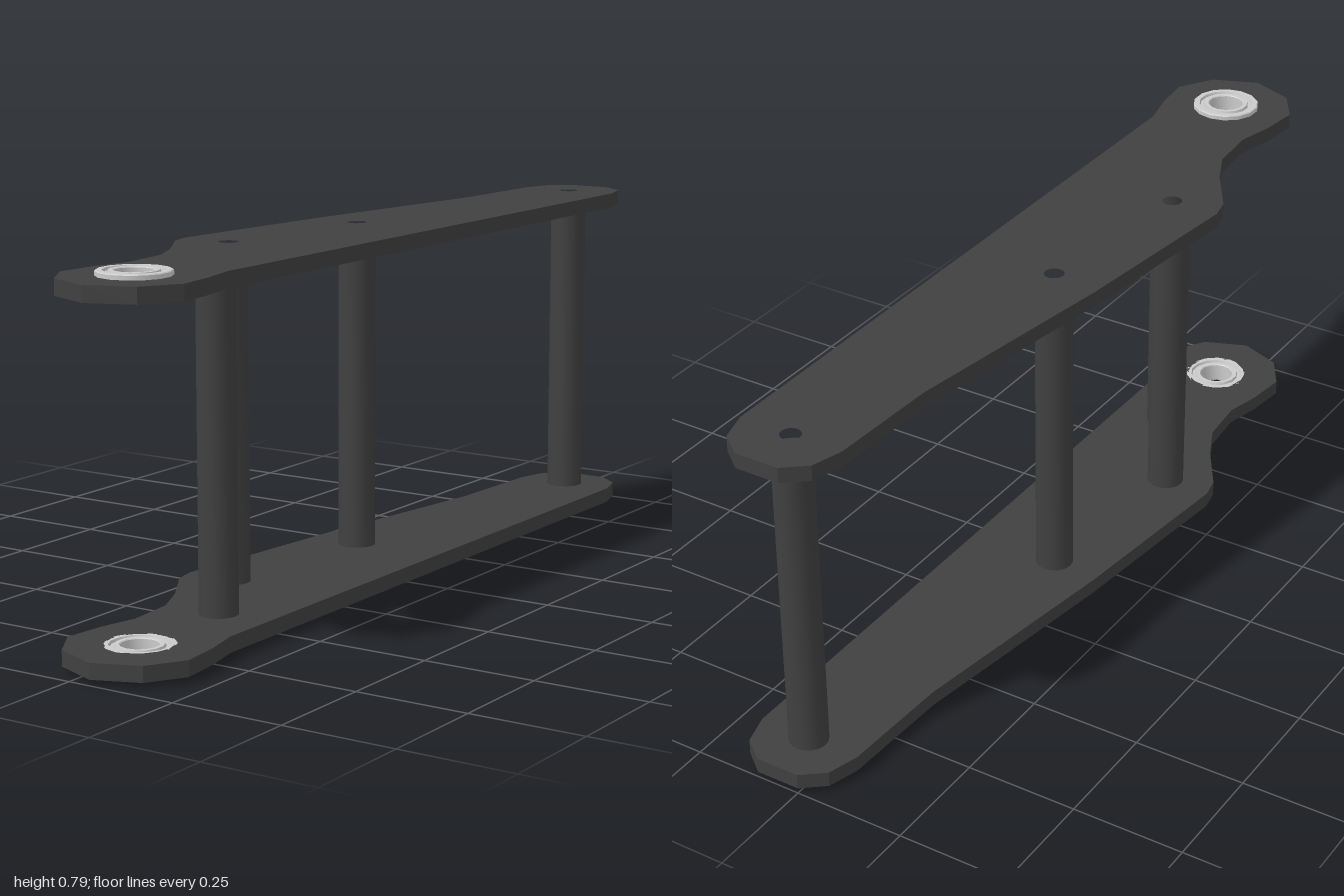
import * as THREE from 'three';
import { toCreasedNormals } from 'three/addons/utils/BufferGeometryUtils.js';

const dark = new THREE.MeshStandardMaterial({ color: 0x404040 });
const metal = new THREE.MeshStandardMaterial({ color: 0xcccccc });

const LOWER = 0.012, UPPER = 0.746, THICK = 0.034;
const PIN_HOLE = 0.022;
const PIVOT = [0.05, 0.84];
// Post centres as [x, z]; the last is blind, the others are bored through the plates
const POSTS = [[0.05, -0.89], [-0.04, -0.08], [-0.085, 0.345], [0.05, 0.575]];

// Plate contour as [x, z]
const OUTLINE = [
  [0, -1], [0.1, -1], [0.15, -0.96], [0.17, -0.89], [0.17, 0.7], [0.19, 0.79],
  [0.2, 0.88], [0.15, 0.96], [0.05, 1], [-0.05, 0.96], [-0.1, 0.88], [-0.09, 0.785],
  [-0.07, 0.7], [-0.08, 0.585], [-0.12, 0.5], [-0.19, 0.39], [-0.2, 0.34],
  [-0.155, -0.105], [-0.08, -0.63], [-0.07, -0.89], [-0.05, -0.96],
];

function addMesh(parent, name, geometry, material, x = 0, y = 0, z = 0) {
  const mesh = new THREE.Mesh(geometry, material);
  mesh.name = name;
  mesh.position.set(x, y, z);
  parent.add(mesh);
}

function circleHole([x, z], radius) {
  const hole = new THREE.Path();
  hole.absarc(x, -z, radius, 0, Math.PI * 2, true);
  return hole;
}

// Closed ring section turned about the y axis
function turned(profile, sides) {
  const points = [...profile, profile[0]].map(([r, y]) => new THREE.Vector2(r, y));
  return toCreasedNormals(new THREE.LatheGeometry(points, sides), 0.7);
}

function plateGeometry() {
  const shape = new THREE.Shape(OUTLINE.map(([x, z]) => new THREE.Vector2(x, -z)));
  POSTS.slice(0, 3).forEach((p) => shape.holes.push(circleHole(p, PIN_HOLE)));
  shape.holes.push(circleHole(PIVOT, 0.07));
  const geometry = new THREE.ExtrudeGeometry(shape, { depth: THICK, bevelEnabled: false, curveSegments: 8 });
  geometry.rotateX(-Math.PI / 2);
  return toCreasedNormals(geometry, 0.2);
}

// Bearing: outer race, shallow groove on both faces, inner race
function bearingGeometry() {
  const h = 0.046;
  return turned([
    [0.075, 0], [0.077, 0.002], [0.077, h - 0.002], [0.075, h], [0.063, h], [0.061, h - 0.006],
    [0.053, h - 0.006], [0.051, h], [0.042, h], [0.04, h - 0.002], [0.04, 0.002], [0.042, 0],
    [0.051, 0], [0.053, 0.006], [0.061, 0.006], [0.063, 0],
  ], 14);
}

export function createModel() {
  const model = new THREE.Group();
  model.name = 'linkArm';

  // Side plates
  const plate = plateGeometry();
  addMesh(model, 'lowerPlate', plate, dark, 0, LOWER, 0);
  addMesh(model, 'upperPlate', plate, dark, 0, UPPER, 0);

  // Hollow spacer posts between the plates
  const bottom = LOWER + THICK;
  const height = UPPER - bottom;
  const post = turned([[0.042, 0], [0.042, height], [PIN_HOLE, height], [PIN_HOLE, 0]], 16);
  POSTS.forEach(([x, z], i) => addMesh(model, `spacerPost${i + 1}`, post, dark, x, bottom, z));

  // Pivot bearings, standing proud of the outer faces
  const bearing = bearingGeometry();
  addMesh(model, 'lowerBearing', bearing, metal, PIVOT[0], 0, PIVOT[1]);
  addMesh(model, 'upperBearing', bearing, metal, PIVOT[0], UPPER - 0.001, PIVOT[1]);

  return model;
}
